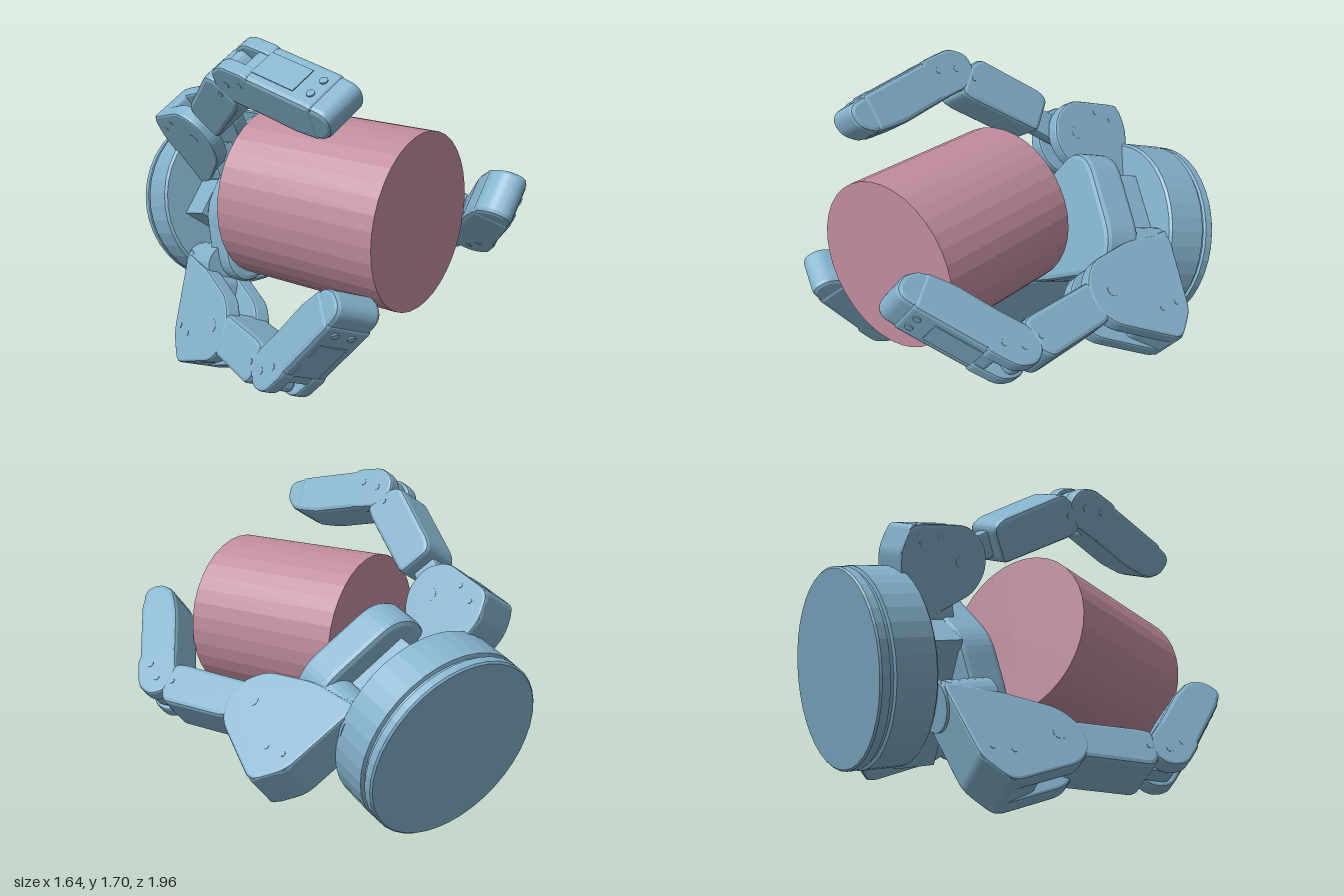
import * as THREE from 'three';

const steel = new THREE.MeshStandardMaterial({ color: 0x84b2cc, flatShading: true });
const rose = new THREE.MeshStandardMaterial({ color: 0xc08c9c, flatShading: true });

function add(parent, name, geometry, material = steel) {
  const mesh = new THREE.Mesh(geometry, material);
  mesh.name = name;
  parent.add(mesh);
  return mesh;
}

// Closed outline with every corner rounded by up to r
function roundedShape(points, r) {
  const p = points.map(([x, y]) => new THREE.Vector2(x, y));
  const shape = new THREE.Shape();
  p.forEach((c, i) => {
    const before = p[(i + p.length - 1) % p.length];
    const after = p[(i + 1) % p.length];
    const toward = (q) => c.clone().lerp(q, Math.min(0.45, r / c.distanceTo(q)));
    const s = toward(before), e = toward(after);
    if (i === 0) shape.moveTo(s.x, s.y);
    else shape.lineTo(s.x, s.y);
    shape.quadraticCurveTo(c.x, c.y, e.x, e.y);
  });
  shape.closePath();
  return shape;
}

// Bevelled slab of the given width, centred on z
function slab(points, width, r = 0.03, bevel = 0.012) {
  const depth = width - 2 * bevel;
  return new THREE.ExtrudeGeometry(roundedShape(points, r), {
    depth, curveSegments: 5, bevelEnabled: true, bevelSegments: 2,
    bevelSize: bevel, bevelThickness: bevel, bevelOffset: -bevel,
  }).translate(0, 0, -depth / 2);
}

// Pin along z (a hinge) or along x (a screw)
function pin(parent, name, x, y, z, r, length, alongX = false) {
  const g = new THREE.CylinderGeometry(r, r, length, 16);
  if (alongX) g.rotateZ(Math.PI / 2);
  else g.rotateX(Math.PI / 2);
  add(parent, name, g).position.set(x, y, z);
}

// Sub-group at a joint with y pointing to the next joint and x outwards
function link(parent, name, from, to) {
  const g = new THREE.Group();
  g.name = name;
  g.position.set(from.x, from.y, 0);
  g.rotation.z = Math.atan2(from.x - to.x, to.y - from.y);
  parent.add(g);
  return g;
}

// One finger: x is outwards, y is the gripping direction, z is the hinge axis.
// heel lists the outer corners of the knuckle, joints the two hinges and the tip
function createFinger(name, heel, joints) {
  const finger = new THREE.Group();
  finger.name = name;
  const [knuckle, middle, tip] = joints.map(([x, y]) => new THREE.Vector2(x, y));
  const near = (dx, dy) => [knuckle.x + dx, knuckle.y + dy];

  // Knuckle: solid foot and two cheeks around the first hinge
  add(finger, 'knuckleFoot', slab([[0.16, 0.25], ...heel, near(0.16, -0.13), near(-0.22, -0.13)], 0.22, 0.025));
  for (const s of [-1, 1]) {
    add(finger, 'knuckleCheek', slab([[0.18, 0.25], ...heel, near(0.16, 0.03), near(0.08, 0.12),
      near(-0.04, 0.13), near(-0.14, 0.07), near(-0.25, -0.16)], 0.075, 0.05)).position.z = s * 0.078;
    for (const [x, y] of [[0.54, 0.33], [0.57, 0.42]]) pin(finger, 'knuckleScrew', x, y, s * 0.116, 0.012, 0.004);
  }
  pin(finger, 'knucklePin', knuckle.x, knuckle.y, 0, 0.03, 0.234);
  add(finger, 'footPivot', new THREE.CylinderGeometry(0.11, 0.11, 0.26, 24)).position.set(0.22, 0.37, 0);

  // Proximal link: rounded body with a narrow tongue into each joint
  const inner = link(finger, 'proximalLink', knuckle, middle);
  const len = knuckle.distanceTo(middle);
  add(inner, 'proximalTongue', slab([[-0.06, -0.06], [0.06, -0.06], [0.07, len + 0.06], [-0.06, len + 0.06]], 0.075, 0.05));
  add(inner, 'proximalBody', slab([[-0.09, len - 0.5], [0.08, len - 0.5], [0.105, len - 0.45], [0.105, len - 0.1],
    [0.05, len - 0.06], [-0.09, len - 0.06], [-0.1, len - 0.12]], 0.225, 0.03, 0.02));
  for (const s of [-1, 1]) pin(inner, 'proximalScrew', 0, len - 0.1, s * 0.112, 0.014, 0.006);

  // Distal link: forked root, tapered fingertip
  const outer = link(finger, 'distalLink', middle, tip);
  for (const s of [-1, 1]) {
    add(outer, 'distalCheek', slab([[-0.1, -0.02], [-0.05, -0.085], [0.04, -0.085], [0.1, -0.01],
      [0.1, 0.16], [-0.1, 0.16]], 0.07, 0.04)).position.z = s * 0.075;
    for (const [x, y] of [[0, 0], [0.03, 0.09]]) pin(outer, 'distalSideScrew', x, y, s * 0.109, 0.016, 0.006);
  }
  add(outer, 'distalBody', slab([[-0.1, 0.08], [0.095, 0.08], [0.078, 0.5], [-0.1, 0.5], [-0.115, 0.36]], 0.22, 0.02, 0.02));
  add(outer, 'fingertip', slab([[-0.1, 0.43], [0.078, 0.43], [0.066, 0.56], [0.03, 0.59], [-0.04, 0.58], [-0.095, 0.52]], 0.212, 0.03, 0.02));
  // Raised panel and screws on the outer face
  const panel = add(outer, 'backPanel', new THREE.BoxGeometry(0.016, 0.23, 0.13));
  panel.position.set(0.084, 0.26, 0);
  panel.rotation.z = 0.04;
  for (const s of [-1, 1]) pin(outer, 'backScrew', 0.076, 0.45, s * 0.04, 0.018, 0.02, true);
  return finger;
}

export function createModel() {
  const model = new THREE.Group();
  model.name = 'gripperHoldingCylinder';

  // Gripper frame: y is the gripping direction, x and z span the base
  const gripper = new THREE.Group();
  gripper.name = 'gripper';
  const f = new THREE.Vector3(-0.361, 0.271, 0.892).normalize();
  const v = new THREE.Vector3(0.658, 0.752, 0.038).cross(f).normalize();
  const u = f.clone().cross(v);
  gripper.quaternion.setFromRotationMatrix(new THREE.Matrix4().makeBasis(u, f, v));
  gripper.position.set(0.272, 0.65, -0.79);
  model.add(gripper);

  // Round base with a groove near the back
  const profile = [[0, 0], [0.434, 0], [0.442, 0.008], [0.442, 0.045], [0.428, 0.05], [0.428, 0.065],
    [0.445, 0.07], [0.445, 0.255], [0.433, 0.265], [0, 0.265]];
  add(gripper, 'base', new THREE.LatheGeometry(profile.map(([x, y]) => new THREE.Vector2(x, y)), 40));

  // Neck block between base and palm
  add(gripper, 'neck', new THREE.BoxGeometry(0.26, 0.2, 0.64)).position.set(-0.105, 0.35, 0.07);
  add(gripper, 'neckCore', new THREE.BoxGeometry(0.5, 0.22, 0.34)).position.set(0.02, 0.36, 0);

  // Palm pad, laid flat across the gripping direction and widening away from the lower finger
  const outline = [[-0.45, -0.06], [-0.2, -0.25], [0.28, -0.28], [0.38, -0.18], [0.38, 0.22],
    [0.29, 0.34], [0.137, 0.31], [-0.215, 0.18], [-0.45, 0.07]];
  const palm = add(gripper, 'palm', slab(outline, 0.18, 0.08, 0.025));
  palm.rotation.x = Math.PI / 2;
  palm.position.y = 0.53;

  // Two spread fingers and one fixed finger: turn in degrees, then offset in the finger's own frame
  const swungHeel = [[0.58, 0.26], [0.72, 0.35]];
  const fixedHeel = [[0.5, 0.23], [0.62, 0.28]];
  const layout = [
    ['leftFinger', -90, [0.01, 0, -0.25], swungHeel, [[0.48, 0.67], [0.73, 1.19], [0.43, 1.71]]],
    ['lowerFinger', -163, [0.16, 0.03, 0.15], swungHeel, [[0.51, 0.67], [0.65, 1.18], [0.33, 1.62]]],
    ['upperFixedFinger', 70, [0.01, 0, -0.02], fixedHeel, [[0.46, 0.53], [0.71, 1.19], [0.44, 1.68]]],
  ];
  for (const [name, degrees, offset, heel, joints] of layout) {
    const finger = createFinger(name, heel, joints);
    finger.rotation.y = THREE.MathUtils.degToRad(degrees);
    finger.position.set(...offset).applyEuler(finger.rotation);
    gripper.add(finger);
  }

  // Held cylinder
  const held = add(model, 'heldCylinder', new THREE.CylinderGeometry(0.392, 0.392, 0.79, 36), rose);
  held.rotation.x = Math.PI / 2;
  held.position.set(-0.17, 0.932, 0.285);
  return model;
}
